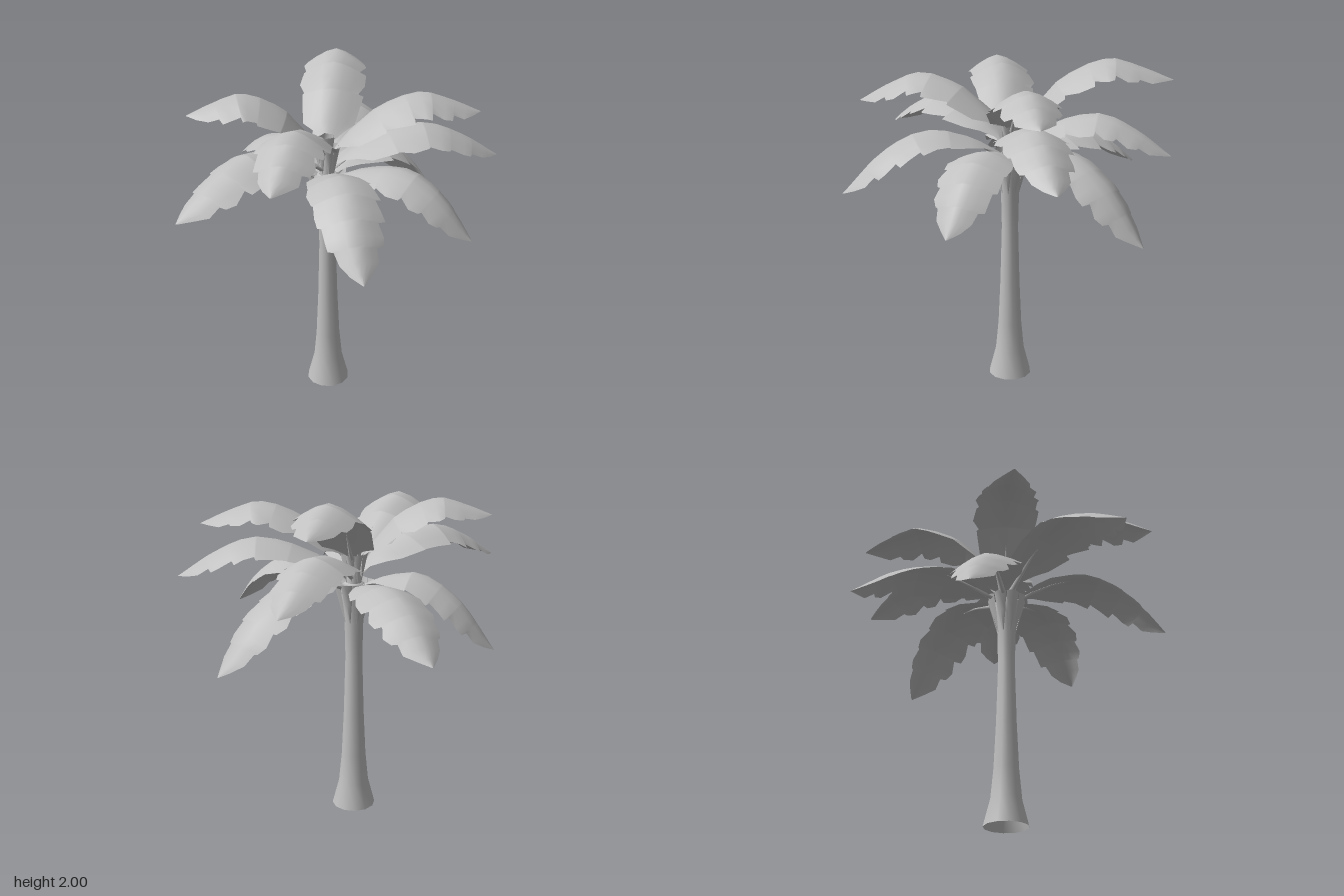
import * as THREE from 'three';

const CX = -0.042; // trunk axis

const grey = new THREE.MeshStandardMaterial({ color: 0xc0c0c0, side: THREE.DoubleSide });
grey.name = 'light grey';

// Frond tiers. Each frond: tip x, y, z, base height, peak height, fraction along at which it peaks, sideways sway.
// droop: how far the edges hang; start: how early the blade widens; sag: how soon the midrib falls after its peak
const TIERS = [
  {
    name: 'upperFronds', droop: 0.52, start: 0.6, stalk: 0.6, sag: 0.38,
    fronds: [
      [-0.24, 1.88, -0.915, 1.58, 2.0, 0.6, 0],
      [-0.75, 1.84, 0.34, 1.58, 1.94, 0.6, -0.02],
      [-0.04, 1.71, 0.935, 1.58, 1.89, 0.58, -0.03],
      [0.77, 1.78, -0.36, 1.58, 1.91, 0.6, 0],
    ],
  },
  {
    name: 'middleFronds', droop: 0.48, start: 0.8, stalk: 0.8, sag: 0.36,
    fronds: [
      [-0.08, 1.47, -0.94, 1.49, 1.7, 0.56, 0],
      [0.87, 1.48, -0.47, 1.49, 1.71, 0.56, 0],
      [-0.57, 1.48, 0.915, 1.49, 1.72, 0.54, 0],
    ],
  },
  {
    name: 'lowerFronds', droop: 0.42, start: 0.9, stalk: 1, sag: 0.31,
    fronds: [
      [0.36, 1.06, -0.85, 1.42, 1.51, 0.45, 0],
      [0.84, 1.19, 0.12, 1.42, 1.54, 0.53, 0],
      [0.42, 1.26, 0.875, 1.43, 1.6, 0.5, -0.01],
      [-0.87, 1.11, 0.13, 1.42, 1.52, 0.46, 0],
      [-0.8, 1.24, -0.64, 1.42, 1.51, 0.5, 0],
    ],
  },
];

// Blade outline: fraction along, half-width; paired stations make torn notches
const OUTLINE = [
  [0, 0.015], [0.08, 0.035], [0.16, 0.09], [0.24, 0.15], [0.33, 0.18], [0.34, 0.165],
  [0.42, 0.19], [0.52, 0.19], [0.53, 0.165], [0.61, 0.185], [0.67, 0.18], [0.68, 0.15],
  [0.76, 0.16], [0.81, 0.145], [0.82, 0.115], [0.89, 0.105], [0.95, 0.055], [1, 0.004],
];

// Grid surface from rows of points
function gridGeometry(rows, closed = false) {
  const n = rows[0].length, pos = [], index = [];
  rows.forEach((row) => row.forEach((p) => pos.push(p.x, p.y, p.z)));
  for (let i = 0; i < rows.length - 1; i++) {
    for (let j = 0; j < (closed ? n : n - 1); j++) {
      const a = i * n + j, b = i * n + ((j + 1) % n);
      index.push(a, b, a + n, b, b + n, a + n);
    }
  }
  const g = new THREE.BufferGeometry();
  g.setAttribute('position', new THREE.Float32BufferAttribute(pos, 3));
  g.setIndex(index);
  g.computeVertexNormals();
  return g;
}

// Midrib: rises from the crown, peaks, then droops to the tip
function midrib([x, y, z, baseY, peakY, peakAt, sway], sag) {
  const dx = x - CX, len = Math.hypot(dx, z);
  const at = (f, h, s = 0) =>
    new THREE.Vector3(CX + dx * f + (s * z) / len, h, z * f - (s * dx) / len);
  return new THREE.CatmullRomCurve3([
    at(0.035 / len, baseY),
    at(peakAt * 0.5, baseY + (peakY - baseY) * 0.7, sway),
    at(peakAt, peakY, sway),
    at((1 + peakAt) / 2, peakY - (peakY - y) * sag, sway * 0.5),
    at(1, y),
  ]);
}

// Point, sideways and upward directions at a fraction of the midrib
function frameAt(curve, t) {
  const tan = curve.getTangentAt(t);
  const side = new THREE.Vector3(tan.z, 0, -tan.x).normalize();
  const up = new THREE.Vector3().crossVectors(tan, side).normalize();
  return { p: curve.getPointAt(t), side, up };
}

// Blade with torn edges, flat near the crown and arched further out
function bladeGeometry(curve, { droop, start }, seed) {
  const cols = 6;
  const rows = OUTLINE.map(([t, w], i) => {
    const { p, side, up } = frameAt(curve, t < 0.33 ? t * start : t);
    const arch = droop * THREE.MathUtils.smoothstep(t, -0.1, 0.5);
    return Array.from({ length: cols + 1 }, (_, j) => {
      const s = (j / cols) * 2 - 1;
      // small difference between the two edges
      const width = w * (1 + 0.05 * Math.sin(i * 2.3 + seed * 1.7 + Math.sign(s)));
      return p.clone()
        .addScaledVector(side, s * width)
        .addScaledVector(up, -arch * width * Math.pow(Math.abs(s), 1.5));
    });
  });
  return gridGeometry(rows);
}

// Four-sided stalk under the blade, thinning outward
function stalkGeometry(curve, size) {
  const rows = [[0, 0.024], [0.12, 0.018], [0.25, 0.01], [0.36, 0.002]].map(([t, r]) => {
    const { p, side, up } = frameAt(curve, t * size);
    return [0, 1, 2, 3].map((k) => p.clone()
      .addScaledVector(side, size * r * Math.cos(k * Math.PI / 2))
      .addScaledVector(up, size * r * 0.6 * (Math.sin(k * Math.PI / 2) - 1) - 0.006));
  });
  return gridGeometry(rows, true);
}

// Ring of keeled leaf bases, pointed below and wide at the top
function sheathRing(name, count, y0, y1, r0, r1, width, turn) {
  const ring = new THREE.Group();
  ring.name = name;
  ring.position.x = CX;
  const rows = [[0, 0.1], [0.5, 0.6], [1, 1]].map(([t, w]) => {
    const r = r0 + (r1 - r0) * t, y = y0 + (y1 - y0) * t;
    return [-1, 0, 1].map((s) =>
      new THREE.Vector3(s * width * w, y, r - Math.abs(s) * 0.025 * w));
  });
  const geo = gridGeometry(rows);
  for (let i = 0; i < count; i++) {
    const m = new THREE.Mesh(geo, grey);
    m.name = 'leafBase';
    m.rotation.y = turn + (i / count) * Math.PI * 2;
    ring.add(m);
  }
  return ring;
}

export function createModel() {
  const tree = new THREE.Group();
  tree.name = 'palmTree';
  const add = (name, geo, parent = tree) => {
    const m = new THREE.Mesh(geo, grey);
    m.name = name;
    parent.add(m);
    return m;
  };

  // Trunk, flared at the foot and open below
  const profile = [
    [0.132, 0], [0.091, 0.16], [0.074, 0.34], [0.061, 0.62], [0.051, 0.98],
    [0.056, 1.2], [0.07, 1.33], [0.08, 1.42], [0.05, 1.44],
  ].map(([r, y]) => new THREE.Vector2(r, y));
  add('trunk', new THREE.LatheGeometry(profile, 12)).position.x = CX;

  // Crown core and leaf bases
  const core = add('crownCore', new THREE.CylinderGeometry(0.035, 0.045, 0.16, 8));
  core.position.set(CX, 1.5, 0);
  tree.add(sheathRing('lowerLeafBases', 8, 1.2, 1.445, 0.057, 0.126, 0.04, 0));
  tree.add(sheathRing('upperLeafBases', 7, 1.45, 1.61, 0.045, 0.08, 0.028, 0.5));
  tree.add(sheathRing('heartLeaves', 5, 1.52, 1.67, 0.03, 0.05, 0.025, 0));

  // Three tiers of fronds
  let seed = 0;
  for (const tier of TIERS) {
    const group = new THREE.Group();
    group.name = tier.name;
    for (const frond of tier.fronds) {
      const curve = midrib(frond, tier.sag);
      add('frondBlade', bladeGeometry(curve, tier, seed++), group);
      add('frondStalk', stalkGeometry(curve, tier.stalk), group);
    }
    tree.add(group);
  }
  return tree;
}
